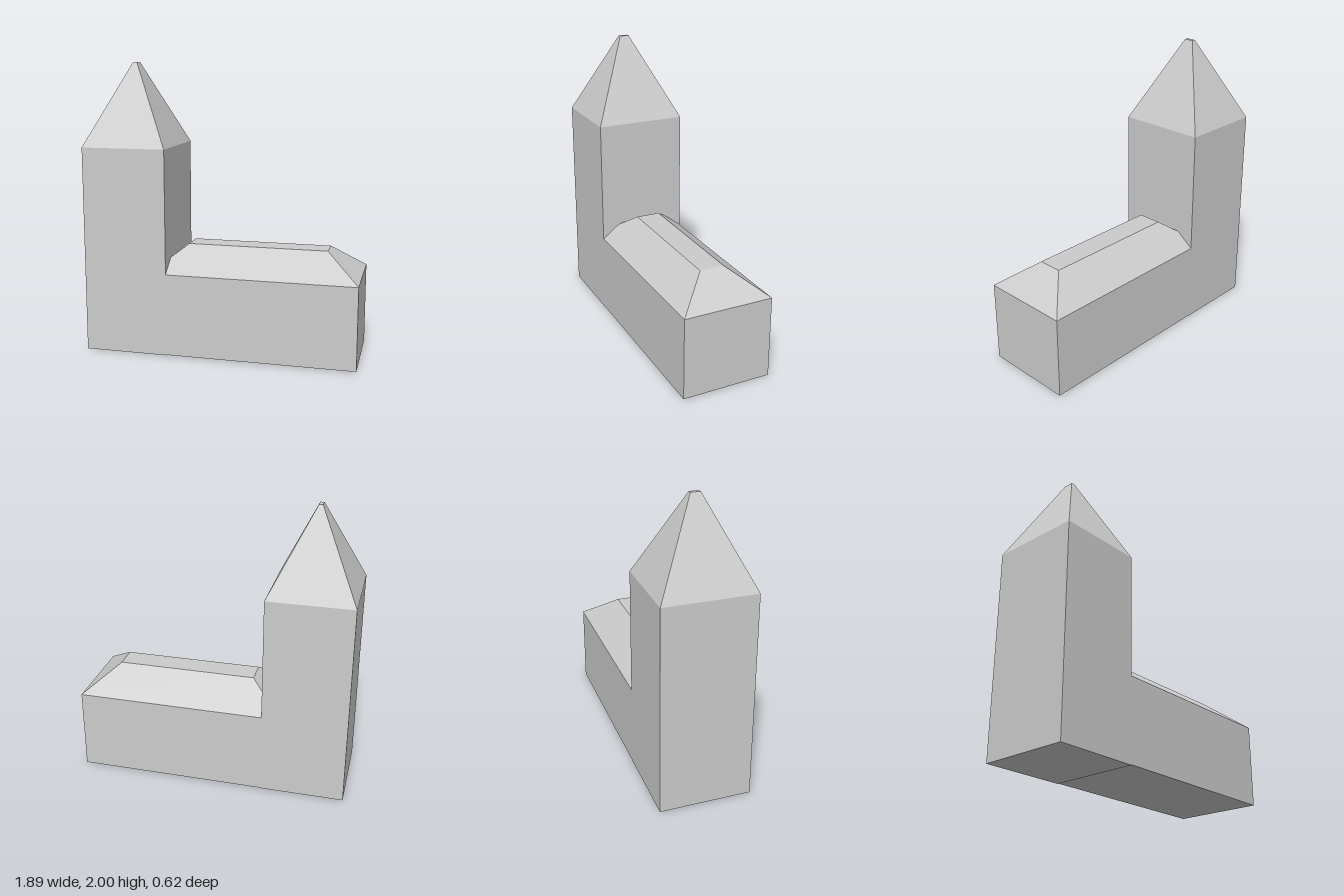
import * as THREE from 'three';

const material = new THREE.MeshStandardMaterial({ color: 0xcccccc, flatShading: true });

// Box whose top rectangle is scaled in to topW x topD
function block(name, x, y0, y1, w, d, topW = w, topD = d) {
  const geo = new THREE.BoxGeometry(w, y1 - y0, d);
  const p = geo.attributes.position;
  for (let i = 0; i < p.count; i++) {
    if (p.getY(i) > 0) {
      p.setX(i, Math.sign(p.getX(i)) * topW / 2);
      p.setZ(i, Math.sign(p.getZ(i)) * topD / 2);
    }
  }
  geo.computeVertexNormals();
  const mesh = new THREE.Mesh(geo, material);
  mesh.name = name;
  mesh.position.set(x, (y0 + y1) / 2, 0);
  return mesh;
}

export function createModel() {
  const group = new THREE.Group();
  group.name = 'church';
  const depth = 0.625;

  // Tower with a steep, blunt-tipped spire
  const towerX = -0.652, towerW = 0.585;
  group.add(block('tower', towerX, 0, 1.43, towerW, depth));
  group.add(block('spire', towerX, 1.43, 2, towerW, depth, 0.027, 0.065));

  // Nave running into the tower, with a flat-topped hipped roof
  const naveX = 0.23, naveW = 1.43;
  group.add(block('nave', naveX, 0.003, 0.575, naveW, depth));
  group.add(block('naveRoof', naveX, 0.575, 0.75, naveW, depth, 0.97, 0.17));

  return group;
}
